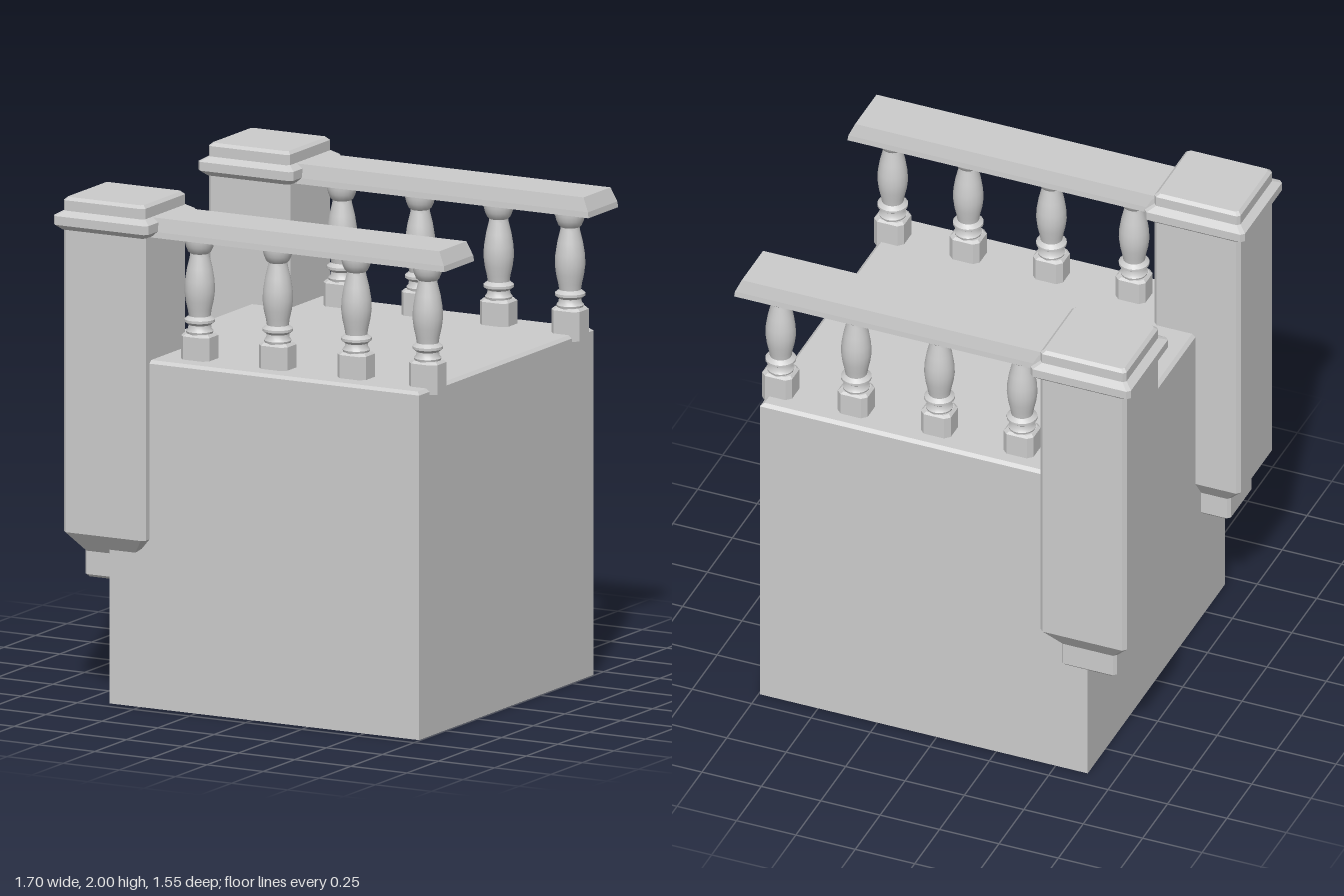
import * as THREE from 'three';
import { toCreasedNormals } from 'three/addons/utils/BufferGeometryUtils.js';

const stone = new THREE.MeshStandardMaterial({ color: 0xcccccc });

// Corners of a rectangle, optionally with chamfered corners, counter-clockwise seen from above
function ring([y, hx, hz, c = 0]) {
  const pts = c
    ? [[hx, hz - c], [hx, c - hz], [hx - c, -hz], [c - hx, -hz], [-hx, c - hz], [-hx, hz - c], [c - hx, hz], [hx - c, hz]]
    : [[hx, hz], [hx, -hz], [-hx, -hz], [-hx, hz]];
  return pts.map(([x, z]) => [x, y, z]);
}

// Flat-faced solid through rectangular sections [y, halfX, halfZ, chamfer], bottom to top
function loft(name, sections) {
  const rings = sections.map(ring);
  const n = rings[0].length;
  const pos = [];
  const tri = (a, b, c) => pos.push(...a, ...b, ...c);
  for (let i = 0; i < rings.length - 1; i++) {
    for (let j = 0; j < n; j++) {
      const k = (j + 1) % n, lo = rings[i], hi = rings[i + 1];
      tri(lo[j], lo[k], hi[k]);
      tri(lo[j], hi[k], hi[j]);
    }
  }
  const bottom = rings[0], top = rings[rings.length - 1];
  for (let j = 1; j < n - 1; j++) {
    tri(top[0], top[j], top[j + 1]);
    tri(bottom[0], bottom[j + 1], bottom[j]);
  }
  const geo = new THREE.BufferGeometry();
  geo.setAttribute('position', new THREE.Float32BufferAttribute(pos, 3));
  geo.computeVertexNormals();
  const mesh = new THREE.Mesh(geo, stone);
  mesh.name = name;
  return mesh;
}

// Square post with corbelled foot and moulded cap
function makePost() {
  const post = new THREE.Group();
  post.name = 'post';
  post.add(
    loft('postFoot', [[0.49, 0.108, 0.105, 0.012], [0.5, 0.117, 0.114, 0.012], [0.6, 0.117, 0.114, 0.012]]),
    loft('postShaft', [[0.59, 0.115, 0.112, 0.012], [0.67, 0.182, 0.17, 0.015], [1.88, 0.182, 0.17, 0.015]]),
    loft('postCap', [
      [1.872, 0.187, 0.176, 0.012], [1.893, 0.211, 0.2, 0.014], [1.928, 0.211, 0.2, 0.014],
      [1.947, 0.181, 0.17, 0.012], [1.988, 0.181, 0.17, 0.012], [2.0, 0.168, 0.157, 0.01],
    ]),
  );
  return post;
}

// Turned spindle on a chamfered block
const spindleProfile = [
  [0.05, 1.475], [0.054, 1.49], [0.046, 1.5], [0.044, 1.515], [0.06, 1.527], [0.06, 1.537], [0.043, 1.55],
  [0.047, 1.575], [0.055, 1.61], [0.06, 1.65], [0.058, 1.69], [0.05, 1.74], [0.039, 1.785],
  [0.037, 1.798], [0.045, 1.805], [0.054, 1.825], [0.059, 1.845], [0.059, 1.872],
].map(([r, y]) => new THREE.Vector2(r, y));
const spindleGeo = toCreasedNormals(new THREE.LatheGeometry(spindleProfile, 20), 0.75);

function makeBaluster() {
  const baluster = new THREE.Group();
  baluster.name = 'baluster';
  const spindle = new THREE.Mesh(spindleGeo, stone);
  spindle.name = 'balusterSpindle';
  baluster.add(
    loft('balusterBase', [[1.355, 0.063, 0.056, 0.02], [1.472, 0.063, 0.056, 0.02], [1.482, 0.053, 0.048, 0.018]]),
    spindle,
  );
  return baluster;
}

export function createModel() {
  const model = new THREE.Group();
  model.name = 'balconyBlock';

  // Solid block with a softened top edge
  const block = loft('block', [[0, 0.69, 0.69], [1.368, 0.69, 0.69], [1.38, 0.676, 0.676]]);
  block.position.set(0.055, 0, 0.01);
  model.add(block);

  // One balustrade on each side
  for (const side of [1, -1]) {
    const balustrade = new THREE.Group();
    balustrade.name = side > 0 ? 'frontBalustrade' : 'backBalustrade';
    balustrade.position.z = side * 0.573;

    const post = makePost();
    post.position.x = -0.639;
    balustrade.add(post);

    const rail = loft('handrail', [[1.867, 0.725, 0.118], [1.89, 0.722, 0.116], [1.945, 0.697, 0.107]]);
    rail.position.set(0.125, 0, -side * 0.003);
    balustrade.add(rail);

    for (const x of [-0.31, 0.038, 0.388, 0.706]) {
      const baluster = makeBaluster();
      baluster.position.set(x, 0, -side * 0.01);
      balustrade.add(baluster);
    }
    model.add(balustrade);
  }
  return model;
}
